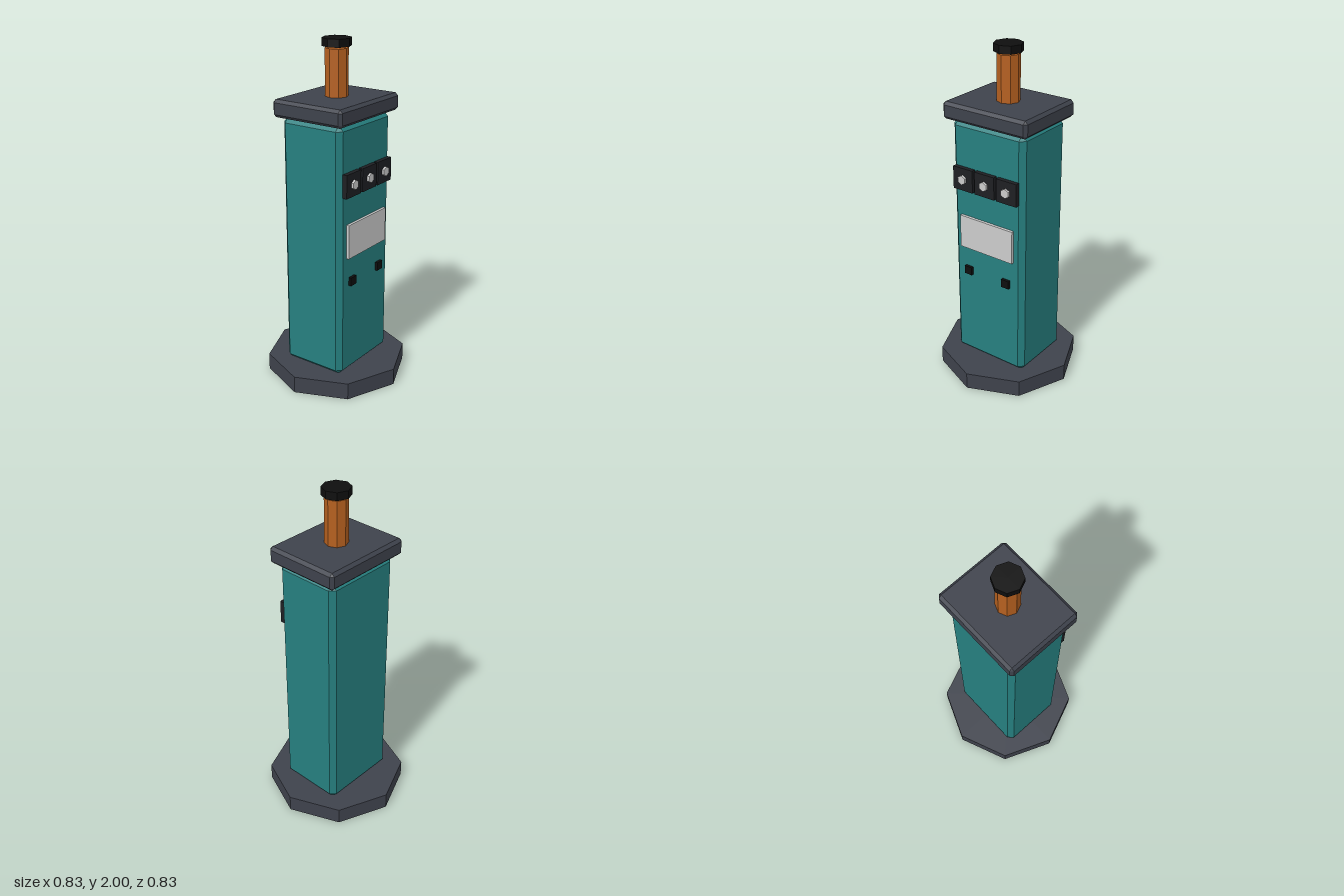
import * as THREE from 'three';
import { ConvexGeometry } from 'three/addons/geometries/ConvexGeometry.js';

const material = (color) => new THREE.MeshStandardMaterial({ color, flatShading: true });
const slate = material(0x3e424c);
const teal = material(0x267f7f);
const orange = material(0xb5601f);
const black = material(0x0e0e0e);
const charcoal = material(0x1e1f23);
const grey = material(0xcccccc);

// Box with every edge and corner cut by a flat bevel
function bevelBox(w, h, d, bevel) {
  const points = [];
  for (const sx of [-1, 1]) for (const sy of [-1, 1]) for (const sz of [-1, 1]) {
    for (let axis = 0; axis < 3; axis++) {
      const half = [w / 2, h / 2, d / 2].map((v, i) => (i === axis ? v : v - bevel));
      points.push(new THREE.Vector3(sx * half[0], sy * half[1], sz * half[2]));
    }
  }
  return new ConvexGeometry(points);
}

export function createModel() {
  const model = new THREE.Group();

  function add(name, geometry, mat, x, y, z) {
    const mesh = new THREE.Mesh(geometry, mat);
    mesh.name = name;
    mesh.position.set(x, y, z);
    model.add(mesh);
    return mesh;
  }

  // Upright eight-sided prism between two heights
  function prism(name, radius, y0, y1, mat) {
    add(name, new THREE.CylinderGeometry(radius, radius, y1 - y0, 8), mat, 0, (y0 + y1) / 2, 0);
  }

  // Box on the front face, slightly sunk into the body
  function frontBox(name, w, h, x, y, zFront, mat) {
    const back = 0.19;
    add(name, new THREE.BoxGeometry(w, h, zFront - back), mat, x, y, (zFront + back) / 2);
  }

  // Foot, body and lid
  prism('base', 0.415, 0, 0.1, slate);
  add('body', bevelBox(0.49, 1.49, 0.4, 0.03), teal, 0, 0.835, 0);
  add('lid', bevelBox(0.564, 0.1, 0.464, 0.017), slate, 0, 1.63, 0);

  // Post and its cap
  prism('post', 0.066, 1.67, 1.945, orange);
  prism('postCap', 0.083, 1.955, 2, black);

  // Row of dial panels, each with a hexagonal knob
  for (const x of [-0.15, 0, 0.15]) {
    frontBox('dialPanel', 0.135, 0.135, x, 1.248, 0.226, charcoal);
    const knob = add('knob', new THREE.CylinderGeometry(0.028, 0.028, 0.03, 6), grey, x, 1.248, 0.225);
    knob.rotation.x = Math.PI / 2;
  }

  // Display plate and the two square buttons
  frontBox('displayPlate', 0.366, 0.2, 0, 0.916, 0.217, grey);
  for (const x of [-0.133, 0.133]) frontBox('button', 0.05, 0.05, x, 0.667, 0.217, black);

  return model;
}
